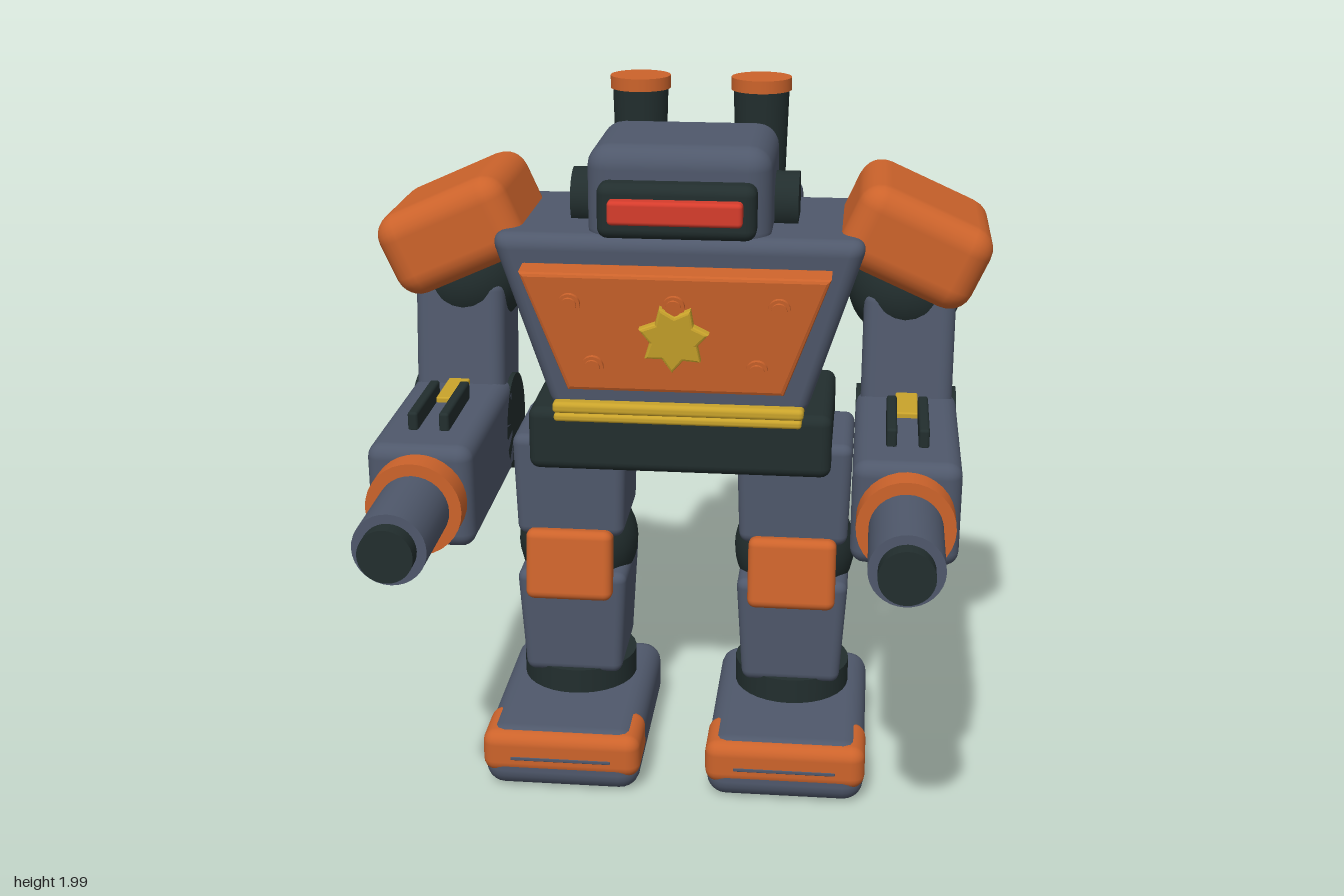
import * as THREE from 'three';
import { RoundedBoxGeometry } from 'three/addons/geometries/RoundedBoxGeometry.js';

const material = (name, color) => {
  const m = new THREE.MeshStandardMaterial({ color });
  m.name = name;
  return m;
};

export function createModel() {
  const steel = material('steel blue', 0x4f586b);
  const orange = material('burnt orange', 0xcc632b);
  const dark = material('dark metal', 0x222e2e);
  const gold = material('gold', 0xc9a32b);
  const red = material('visor red', 0xd63c2c);

  const model = new THREE.Group();
  model.name = 'robot';

  const add = (parent, name, geometry, mat, x = 0, y = 0, z = 0) => {
    const mesh = new THREE.Mesh(geometry, mat);
    mesh.name = name;
    mesh.position.set(x, y, z);
    parent.add(mesh);
    return mesh;
  };
  const group = (name, x = 0, y = 0, z = 0) => {
    const g = new THREE.Group();
    g.name = name;
    g.position.set(x, y, z);
    model.add(g);
    return g;
  };
  const box = (w, h, d, r = 0.03) => new RoundedBoxGeometry(w, h, d, 3, r);
  const cyl = (top, bottom, h, sides = 32) => new THREE.CylinderGeometry(top, bottom, h, sides);
  const alongX = (r, h) => cyl(r, r, h).rotateZ(Math.PI / 2);
  const alongZ = (r, h) => cyl(r, r, h).rotateX(Math.PI / 2);

  // Rounded box narrowing linearly from full size at the top to sx, sz at the bottom
  const taperBox = (w, h, d, r, sx, sz) => {
    const g = box(w, h, d, r);
    const p = g.attributes.position, n = g.attributes.normal;
    const v = new THREE.Vector3();
    for (let i = 0; i < p.count; i++) {
      const t = p.getY(i) / h + 0.5;
      const kx = sx + (1 - sx) * t, kz = sz + (1 - sz) * t;
      const nx = n.getX(i) / kx, nz = n.getZ(i) / kz;
      v.set(nx, n.getY(i) - p.getX(i) * nx * (1 - sx) / h - p.getZ(i) * nz * (1 - sz) / h, nz).normalize();
      n.setXYZ(i, v.x, v.y, v.z);
      p.setX(i, p.getX(i) * kx);
      p.setZ(i, p.getZ(i) * kz);
    }
    return g;
  };

  const extrude = (points, depth, bevel) => new THREE.ExtrudeGeometry(new THREE.Shape(points), {
    depth, bevelEnabled: bevel > 0, bevelSize: bevel, bevelThickness: bevel, bevelOffset: -bevel, bevelSegments: 2,
  });
  const polar = (r, a) => new THREE.Vector2(r * Math.cos(a), r * Math.sin(a));

  // Torso, hips and belt
  add(model, 'torso', taperBox(1.06, 0.53, 0.58, 0.045, 0.68, 0.87), steel, 0, 1.41, -0.22);
  add(model, 'pelvis', box(0.88, 0.19, 0.47, 0.03), dark, 0, 1.055, -0.21);
  add(model, 'belt', box(0.72, 0.035, 0.1, 0.014), gold, 0, 1.168, 0.02);
  add(model, 'beltLower', box(0.71, 0.025, 0.11, 0.01), gold, 0, 1.142, 0.02);

  // Chest plate with bolts and star badge, leaning forward
  const chest = group('chestPlate', 0, 1.42, 0.1);
  chest.rotation.x = 0.11;
  const plate = [[-0.305, -0.175], [0.305, -0.175], [0.43, 0.175], [-0.43, 0.175]].map(([x, y]) => new THREE.Vector2(x, y));
  add(chest, 'plate', extrude(plate, 0.066, 0.012), orange, 0, 0, -0.038);
  for (const [x, y] of [[-0.29, 0.09], [0, 0.09], [0.29, 0.09], [-0.23, -0.095], [0.23, -0.095]]) {
    add(chest, 'bolt', alongZ(0.031, 0.015), orange, x, y, 0.045);
    add(chest, 'boltHead', alongZ(0.022, 0.015), orange, x, y, 0.053);
  }
  const star = [];
  for (let i = 0; i < 14; i++) star.push(polar(i % 2 ? 0.068 : 0.1, 1.07 + i * Math.PI / 7));
  add(chest, 'starBadge', extrude(star, 0.02, 0.008), gold, 0, 0, 0.042);

  // Head with visor, ears and rear crest
  add(model, 'head', box(0.515, 0.3, 0.44, 0.065), steel, 0, 1.77, -0.175);
  add(model, 'visorFrame', box(0.44, 0.155, 0.1, 0.03), dark, 0, 1.752, 0.055);
  add(model, 'visor', box(0.37, 0.067, 0.06, 0.012), red, 0, 1.757, 0.113);
  for (const s of [-1, 1]) {
    add(model, 'ear', alongX(0.085, 0.08), dark, s * 0.285, 1.725, -0.205);
  }
  const crest = [[0.33, 1.875], [0.38, 1.79], [0.475, 1.812]].map(([z, y]) => new THREE.Vector2(z, y));
  add(model, 'crest', extrude(crest, 0.09, 0.004).rotateY(Math.PI / 2), orange, -0.045, 0, 0);

  // Backpack with cog and chimneys
  add(model, 'backpack', box(0.63, 0.51, 0.31, 0.05), steel, 0, 1.415, -0.665);
  const cog = [];
  for (let i = 0; i < 10; i++) {
    const a = Math.PI / 2 + i * Math.PI / 5;
    for (const [r, o] of [[0.21, -0.05], [0.21, 0.05], [0.176, 0.17], [0.166, 0.314], [0.176, 0.458]]) cog.push(polar(r, a + o));
  }
  add(model, 'cog', extrude(cog, 0.04, 0.006), orange, 0, 1.41, -0.864);
  add(model, 'cogHub', alongZ(0.05, 0.08), dark, 0, 1.41, -0.855);
  for (const s of [-1, 1]) {
    add(model, 'chimney', cyl(0.085, 0.075, 0.34), dark, s * 0.185, 1.8, -0.66);
    add(model, 'chimneyCap', cyl(0.092, 0.092, 0.038), orange, s * 0.185, 1.981, -0.66);
  }

  for (const s of [-1, 1]) {
    const side = s > 0 ? 'left' : 'right';

    // Leg
    const leg = group(side + 'Leg', s * 0.333, 0, -0.215);
    add(leg, 'foot', box(0.465, 0.19, 0.68, 0.06), steel, 0, 0.105, 0.105);
    add(leg, 'toeCap', box(0.472, 0.135, 0.205, 0.04), orange, 0, 0.126, 0.345);
    add(leg, 'toeGroove', box(0.3, 0.012, 0.01, 0.003), steel, 0, 0.115, 0.444);
    add(leg, 'ankle', cyl(0.175, 0.175, 0.09), dark, 0, 0.232, 0);
    add(leg, 'shin', taperBox(0.335, 0.34, 0.34, 0.03, 0.88, 0.92), steel, 0, 0.43, 0);
    add(leg, 'knee', new THREE.SphereGeometry(0.183, 32, 20), dark, 0, 0.65, -0.005);
    add(leg, 'thigh', taperBox(0.34, 0.32, 0.34, 0.03, 0.94, 0.97), steel, 0, 0.88, 0.005);
    add(leg, 'kneePad', box(0.26, 0.215, 0.075, 0.025), orange, 0, 0.642, 0.187).rotation.x = -0.14;
    add(leg, 'piston', cyl(0.016, 0.016, 0.62, 12), dark, 0, 0.582, -0.2).rotation.x = 0.035;

    // Shoulder and upper arm
    const arm = group(side + 'Arm', s * 0.648, 0, 0);
    add(arm, 'shoulderBall', new THREE.SphereGeometry(0.167, 32, 20), dark, -s * 0.012, 1.49, -0.215);
    add(arm, 'shoulderPad', box(0.405, 0.25, 0.465, 0.07), orange, s * 0.008, 1.638, -0.217).rotation.z = -s * 0.42;
    add(arm, 'upperArm', box(0.26, 0.42, 0.28, 0.04), steel, 0, 1.28, -0.185).rotation.x = -0.14;

    // Forearm cannon
    add(arm, 'elbow', alongX(0.143, 0.287), dark, 0, 1.052, -0.145);
    add(arm, 'forearm', box(0.287, 0.29, 0.63, 0.04), steel, 0, 1.055, 0.195);
    add(arm, 'cannonRing', alongZ(0.13, 0.075), orange, 0, 1.052, 0.547);
    add(arm, 'barrel', alongZ(0.097, 0.28), steel, 0, 1.052, 0.71);
    add(arm, 'muzzle', alongZ(0.072, 0.06), dark, 0, 1.052, 0.865);
    add(arm, 'sightPlate', box(0.062, 0.03, 0.2, 0.005), gold, 0, 1.2, 0.04);
    for (const x of [-0.043, 0.043]) {
      add(arm, 'rail', box(0.028, 0.055, 0.285, 0.008), dark, x, 1.222, 0.23);
    }
  }
  return model;
}
